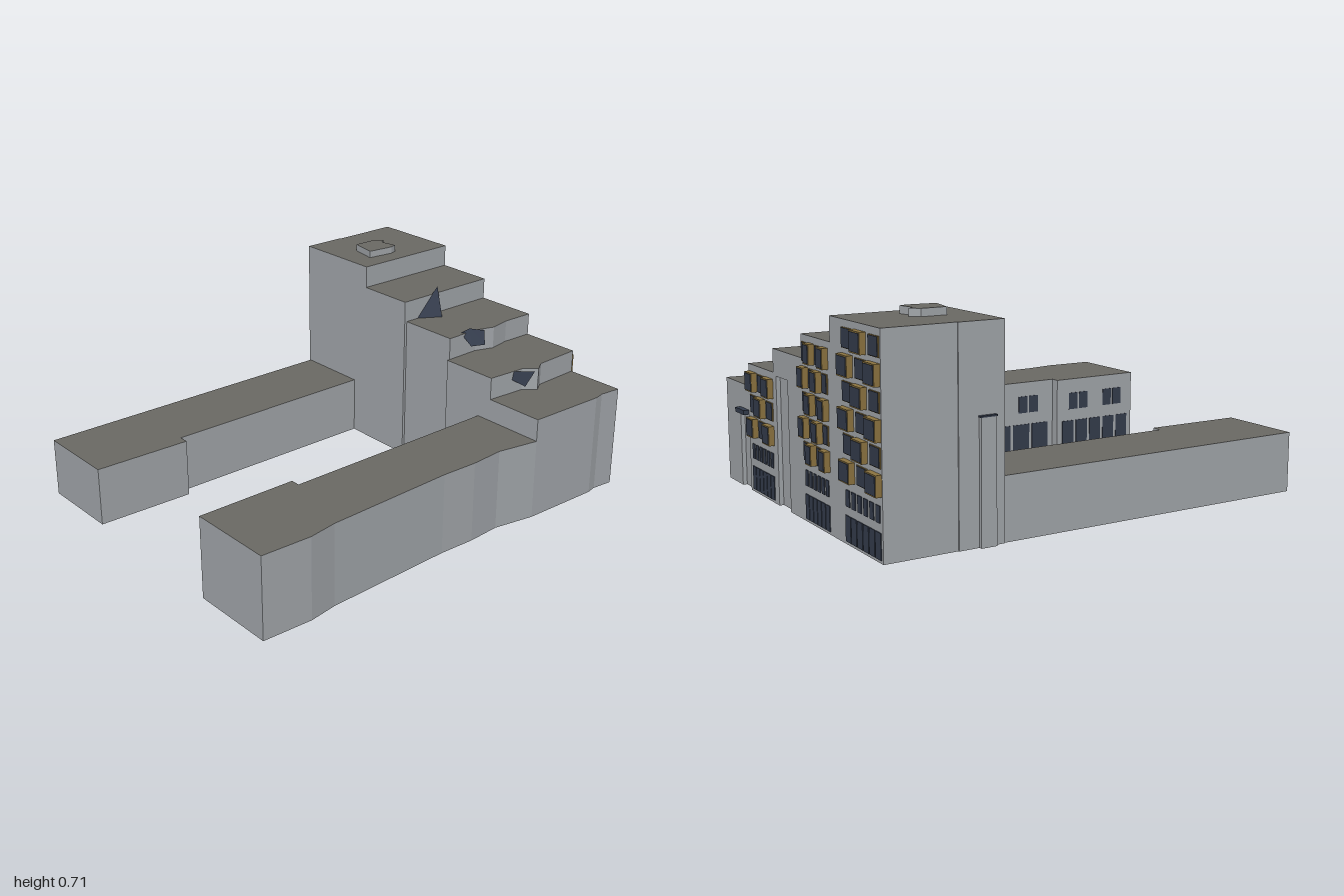
import * as THREE from 'three';
import { ConvexGeometry } from 'three/addons/geometries/ConvexGeometry.js';

const material = (name, color, side = THREE.FrontSide) => {
  const m = new THREE.MeshStandardMaterial({ color, side });
  m.name = name;
  return m;
};

export function createModel() {
  const wall = material('wall grey', 0xa2a6aa, THREE.DoubleSide);
  const roof = material('roof grey', 0x6a6964, THREE.DoubleSide);
  const glass = material('dark blue glass', 0x343c4c);
  const ochre = material('ochre balcony', 0x8c7440);

  // Local frame: x runs along the main block, z runs out along the wings
  const building = new THREE.Group();
  building.name = 'building';
  building.position.set(-0.09, 0, -0.985);
  building.rotation.y = -0.563;

  const add = (name, geometry, mat, parent = building) => {
    const mesh = new THREE.Mesh(geometry, mat);
    mesh.name = name;
    parent.add(mesh);
    return mesh;
  };

  // Flat slab face at height y
  const deck = (name, outline, y, mat) => {
    const geo = new THREE.ShapeGeometry(new THREE.Shape(outline.map(([u, v]) => new THREE.Vector2(u, -v))));
    geo.rotateX(-Math.PI / 2);
    add(name, geo, mat).position.y = y;
  };

  // Upright walls along a path; a point's third number is where the wall after it starts
  const walls = (name, path, top) => {
    const pos = [];
    for (let i = 0; i < path.length - 1; i++) {
      const [u0, v0, bottom = 0] = path[i];
      const [u1, v1] = path[i + 1];
      if (bottom >= top) continue;
      pos.push(u0, bottom, v0, u0, top, v0, u1, top, v1, u0, bottom, v0, u1, top, v1, u1, bottom, v1);
    }
    const geo = new THREE.BufferGeometry();
    geo.setAttribute('position', new THREE.Float32BufferAttribute(pos, 3));
    geo.computeVertexNormals();
    add(name, geo, wall);
  };

  // Hollow volume without a floor
  const shell = (name, outline, top) => {
    walls(name + 'Walls', [...outline, outline[0]], top);
    deck(name + 'Roof', outline, top, roof);
  };

  const box = (name, mat, a, b, parent = building) => {
    const geo = new THREE.BoxGeometry(b[0] - a[0], b[1] - a[1], b[2] - a[2]);
    add(name, geo, mat, parent).position.set((a[0] + b[0]) / 2, (a[1] + b[1]) / 2, (a[2] + b[2]) / 2);
  };

  // Stepped main block, open where the parts meet
  const open = 1;
  shell('towerTier', [[0, 0], [0.335, 0, 0.605], [0.335, 0.41], [0.27, 0.41, 0.21], [-0.004, 0.41],
    [-0.004, 0.25], [0, 0.25]], 0.687);
  shell('secondTier', [[0.335, 0], [0.55, 0, 0.53], [0.55, 0.402], [0.55, 0.412], [0.335, 0.412, open]], 0.607);
  shell('thirdTier', [[0.55, 0], [0.665, 0, 0.44], [0.76, 0], [0.783, 0, 0.45], [0.78, 0.12, 0.45],
    [0.795, 0.2, 0.45], [0.772, 0.27, 0.45], [0.775, 0.402], [0.55, 0.402, open]], 0.53);
  shell('fourthTier', [[0.783, 0], [1.003, 0, 0.37], [1.01, 0.18, 0.37], [1.035, 0.22, 0.37], [1.0, 0.265, 0.37],
    [0.99, 0.412, 0.29], [0.935, 0.412], [0.775, 0.412], [0.775, 0.402, open], [0.765, 0.2, open]], 0.45);
  shell('lowTier', [[1.003, 0], [1.01, 0, 0.28], [1.09, 0], [1.218, 0], [1.21, 0.08], [1.218, 0.118],
    [1.21, 0.412, 0.29], [0.99, 0.412, open], [0.98, 0.2, open]], 0.37);
  shell('roofHousing', [[0.16, 0.219, 0.687], [0.186, 0.19, 0.687], [0.2, 0.212, 0.687], [0.261, 0.2, 0.687],
    [0.27, 0.226, 0.687], [0.259, 0.326, 0.687], [0.16, 0.307, 0.687]], 0.712);

  // Two long wings
  shell('leftWing', [[0, 0.41, open], [0.27, 0.41], [0.268, 1.222], [0.304, 1.222], [0.295, 1.575],
    [-0.004, 1.575]], 0.21);
  shell('rightWing', [[0.935, 0.412, open], [1.21, 0.412], [1.182, 0.564], [1.19, 0.688], [1.185, 0.822],
    [1.2, 1.297], [1.216, 1.4], [1.209, 1.58], [0.901, 1.58], [0.902, 1.222], [0.935, 1.222]], 0.29);

  // Tall recesses in the rear wall
  for (const [u0, u1, top] of [[0.665, 0.76, 0.44], [1.01, 1.09, 0.28]]) {
    const path = [[u0, 0], [u0, 0.015], [u1, 0.015], [u1, 0]];
    walls('rearRecess', path, top);
    deck('recessSoffit', path, top, wall);
  }

  // Side shaft and small canopies
  box('sideShaft', wall, [-0.016, 0, 0.32], [-0.002, 0.4, 0.375]);
  box('sideCanopy', glass, [-0.018, 0.4, 0.318], [-0.002, 0.405, 0.377]);
  box('rearCanopy', glass, [1.01, 0.268, -0.02], [1.09, 0.284, 0.008]);

  // Faceted glass skylights on the terraces
  const skylight = (points) =>
    add('skylight', new ConvexGeometry(points.map((p) => new THREE.Vector3(...p))), glass);
  skylight([[0.545, 0.53, 0.356], [0.545, 0.53, 0.234], [0.597, 0.53, 0.268], [0.55, 0.632, 0.25]]);
  skylight([[0.76, 0.53, 0.335], [0.775, 0.545, 0.305], [0.795, 0.53, 0.25], [0.825, 0.49, 0.275],
    [0.805, 0.49, 0.325]]);
  skylight([[0.985, 0.45, 0.32], [1.045, 0.45, 0.25], [1.03, 0.395, 0.28], [0.995, 0.42, 0.315]]);

  // Rear facade: balcony boxes staggered with windows, over two glazed floors
  const facade = (start, step, width, columns, floors) => {
    const group = new THREE.Group();
    group.name = 'rearFacade';
    building.add(group);
    for (let row = 0; row < floors; row++) {
      const y = 0.2 + row * 0.08;
      for (let col = 0; col < columns; col++) {
        const u = start + col * step;
        if ((row + col) % 2 === 0) {
          box('balcony', ochre, [u, y, -0.02], [u + width, y + 0.066, 0.004], group);
          box('balconyGlass', glass, [u + 0.004, y + 0.004, -0.022], [u + width - 0.004, y + 0.062, -0.019], group);
        } else {
          box('windowFrame', ochre, [u + 0.003, y + 0.002, -0.003], [u + width - 0.003, y + 0.064, 0.004], group);
          box('window', glass, [u + 0.008, y + 0.004, -0.005], [u + width - 0.006, y + 0.062, 0.003], group);
        }
      }
    }
    const count = 6;
    const w = ((columns - 1) * step + width - 0.01) / count;
    for (let i = 0; i < count; i++) {
      const u = start + 0.005 + w * i;
      box('lowWindow', glass, [u + w * 0.18, 0.12, -0.003], [u + w * 0.82, 0.172, 0.004], group);
      box('groundGlazing', glass, [u + w * 0.06, 0.01, -0.003], [u + w * 0.94, 0.092, 0.004], group);
    }
  };
  facade(0.003, 0.088, 0.072, 3, 6);
  facade(0.35, 0.05, 0.044, 4, 5);
  facade(0.788, 0.071, 0.061, 3, 3);

  // Courtyard side of the right wing: tall glazing below, paired windows above
  const courtyard = (u, v0, v1, panels, pairs) => {
    const step = (v1 - v0) / panels;
    for (let i = 0; i < panels; i++) {
      const v = v0 + i * step;
      box('courtyardGlazing', glass, [u - 0.002, 0.005, v + 0.006], [u + 0.004, 0.125, v + step - 0.006]);
    }
    const gap = (v1 - v0) / pairs;
    for (let i = 0; i < pairs; i++) {
      for (const side of [-1, 1]) {
        const v = v0 + (i + 0.5) * gap + side * 0.024;
        box('courtyardWindow', glass, [u - 0.002, 0.17, v - 0.02], [u + 0.004, 0.235, v + 0.02]);
      }
    }
  };
  courtyard(0.935, 0.43, 1.205, 9, 4);
  courtyard(0.9015, 1.24, 1.565, 5, 2);

  const model = new THREE.Group();
  model.name = 'steppedBuilding';
  model.add(building);
  return model;
}
